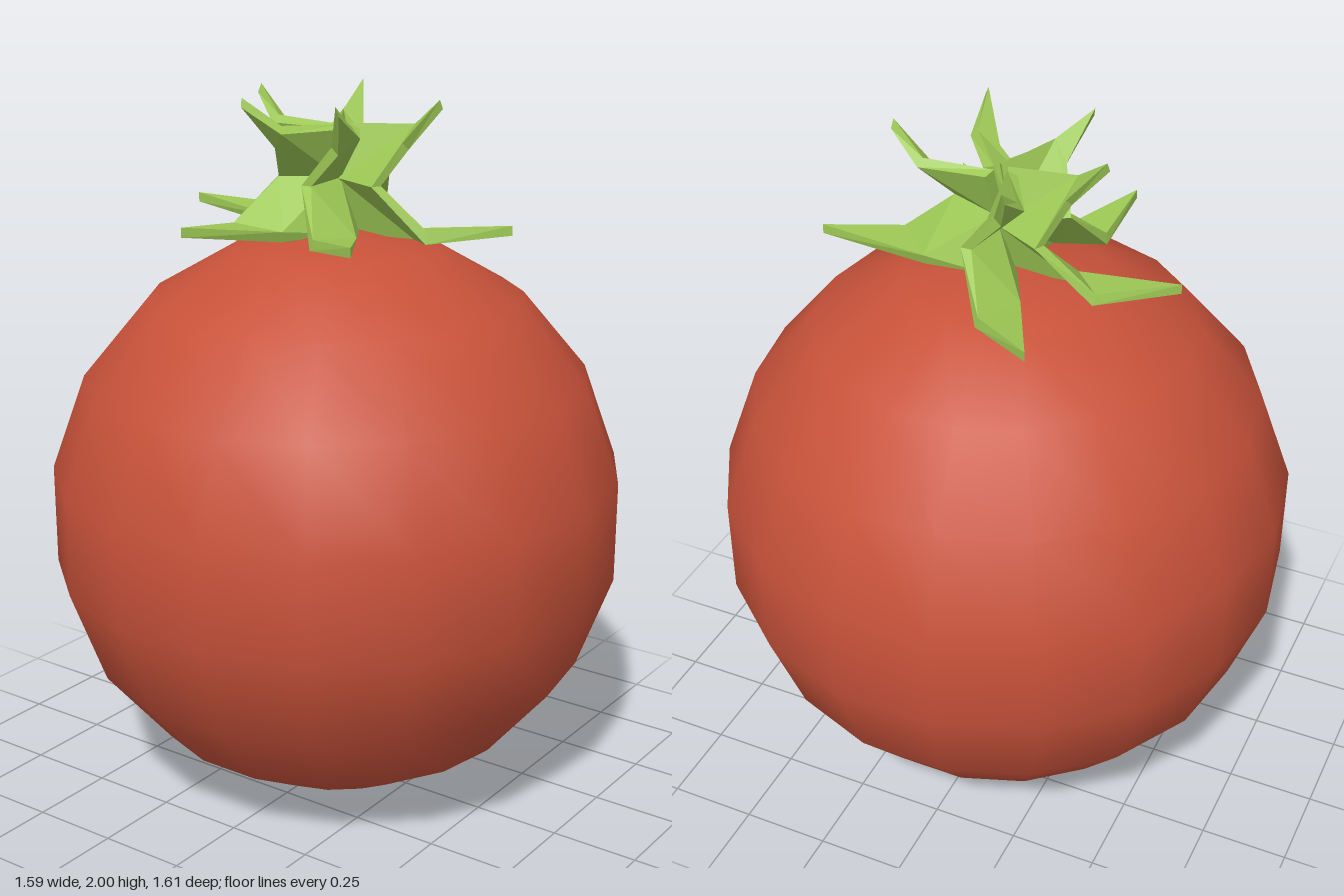
import * as THREE from 'three';

// One folded leaf: outline points (radial x, height y, sideways z) with a
// thickness offset [dy, dz] towards the back face, anticlockwise from the front.
const OUTLINE = [
  [0.02, 1.77, 0.03, 0, -0.03],       // 0 fold, inner
  [0.005, 1.61, -0.02, 0.01, -0.03],  // 1 base, inner
  [0.165, 1.61, -0.12, 0.03, -0.01],  // 2 base, back corner
  [0.425, 1.65, -0.257, 0.027, 0],    // 3 lower tip
  [0.3, 1.625, -0.064, 0.03, -0.01],  // 4 base, outer
  [0.18, 1.77, 0.03, 0, -0.03],       // 5 fold, outer
  [0.185, 1.88, -0.065, -0.02, -0.02],// 6 top, outer
  [0.27, 2.0, -0.125, -0.025, -0.01], // 7 upper tip
  [0.165, 1.925, -0.12, -0.02, -0.02],// 8 top, back corner
  [0.005, 1.915, -0.02, -0.01, -0.03],// 9 top, inner
];
const FACES = [
  [0, 5, 8], [0, 8, 9], [5, 6, 8], [6, 7, 8],
  [0, 2, 5], [0, 1, 2], [5, 2, 4], [4, 2, 3],
];

function leafGeometry() {
  const n = OUTLINE.length;
  const front = OUTLINE.map(([x, y, z]) => [x, y, z]);
  const back = OUTLINE.map(([x, y, z, dy, dz]) => [x, y + dy, z + dz]);
  const index = [];
  for (const [a, b, c] of FACES) index.push(a, b, c, c + n, b + n, a + n);
  // rim joining the two faces
  for (let a = 0; a < n; a++) {
    const b = (a + 1) % n;
    index.push(b, a, a + n, b, a + n, b + n);
  }
  const geo = new THREE.BufferGeometry();
  geo.setAttribute('position', new THREE.Float32BufferAttribute([...front, ...back].flat(), 3));
  geo.setIndex(index);
  const flat = geo.toNonIndexed();
  flat.computeVertexNormals();
  return flat;
}

export function createModel() {
  const model = new THREE.Group();
  model.name = 'tomato';

  // round fruit with a corner facing the front
  const R = 0.8175;
  const fruit = new THREE.Mesh(
    new THREE.SphereGeometry(R, 18, 9),
    new THREE.MeshStandardMaterial({ color: 0xc8523a })
  );
  fruit.name = 'fruit';
  fruit.rotation.y = Math.PI / 2;
  fruit.position.y = R;
  model.add(fruit);

  // crown of five leaves, leaving a gap at the front left
  const crown = new THREE.Group();
  crown.name = 'leafCrown';
  crown.position.x = 0.035;
  const green = new THREE.MeshStandardMaterial({ color: 0x9dc855, flatShading: true });
  const geo = leafGeometry();
  for (let i = 0; i < 5; i++) {
    const leaf = new THREE.Mesh(geo, green);
    leaf.name = 'leaf' + (i + 1);
    leaf.rotation.y = THREE.MathUtils.degToRad(62 * i);
    crown.add(leaf);
  }
  model.add(crown);
  return model;
}
